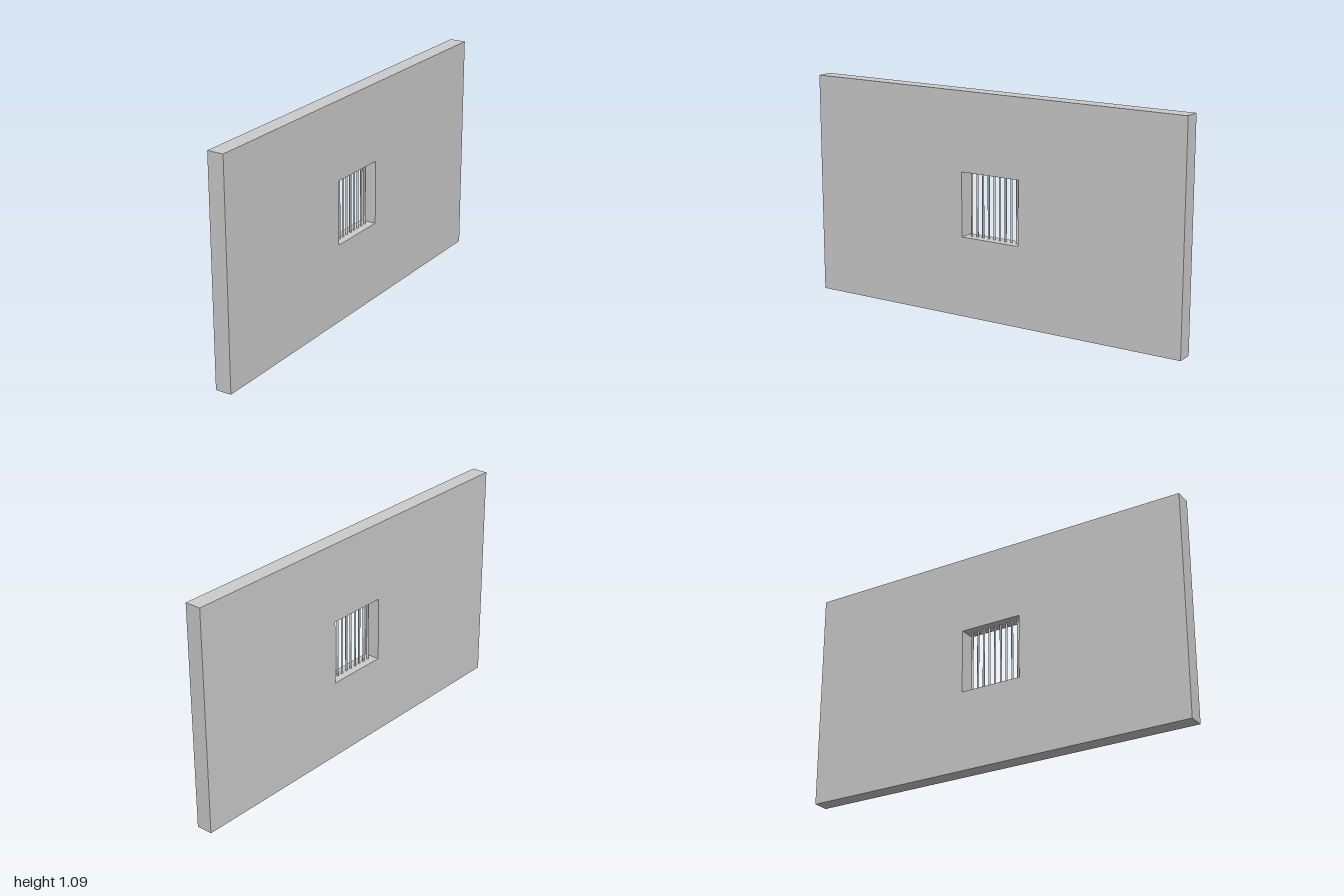
import * as THREE from 'three';

const LENGTH = 2, HEIGHT = 1.09, DEPTH = 0.08;
const HOLE = 0.314, HOLE_BOTTOM = 0.392;
const BARS = 9, BAR_RADIUS = 0.005;

// Counter-clockwise rectangle centred on x, standing on y0
const rectangle = (path, width, y0, height) => path
  .moveTo(-width / 2, y0)
  .lineTo(width / 2, y0)
  .lineTo(width / 2, y0 + height)
  .lineTo(-width / 2, y0 + height)
  .closePath();

export function createModel() {
  const model = new THREE.Group();
  model.name = 'barredWindowWall';
  const material = new THREE.MeshStandardMaterial({ color: 0xcccccc });

  // Wall slab with a square window opening, running along z
  const outline = new THREE.Shape();
  rectangle(outline, LENGTH, 0, HEIGHT);
  const opening = new THREE.Path();
  rectangle(opening, HOLE, HOLE_BOTTOM, HOLE);
  outline.holes.push(opening);
  const wallGeometry = new THREE.ExtrudeGeometry(outline, { depth: DEPTH, bevelEnabled: false });
  wallGeometry.translate(0, 0, -DEPTH / 2).rotateY(Math.PI / 2);
  const wall = new THREE.Mesh(wallGeometry, material);
  wall.name = 'wall';
  model.add(wall);

  // Evenly spaced upright bars in the middle of the opening
  const bars = new THREE.Group();
  bars.name = 'windowBars';
  const barGeometry = new THREE.CylinderGeometry(BAR_RADIUS, BAR_RADIUS, HOLE, 16);
  for (let i = 1; i <= BARS; i++) {
    const bar = new THREE.Mesh(barGeometry, material);
    bar.name = `bar${i}`;
    bar.position.set(0, HOLE_BOTTOM + HOLE / 2, HOLE * (i / (BARS + 1) - 0.5));
    bars.add(bar);
  }
  model.add(bars);

  return model;
}
